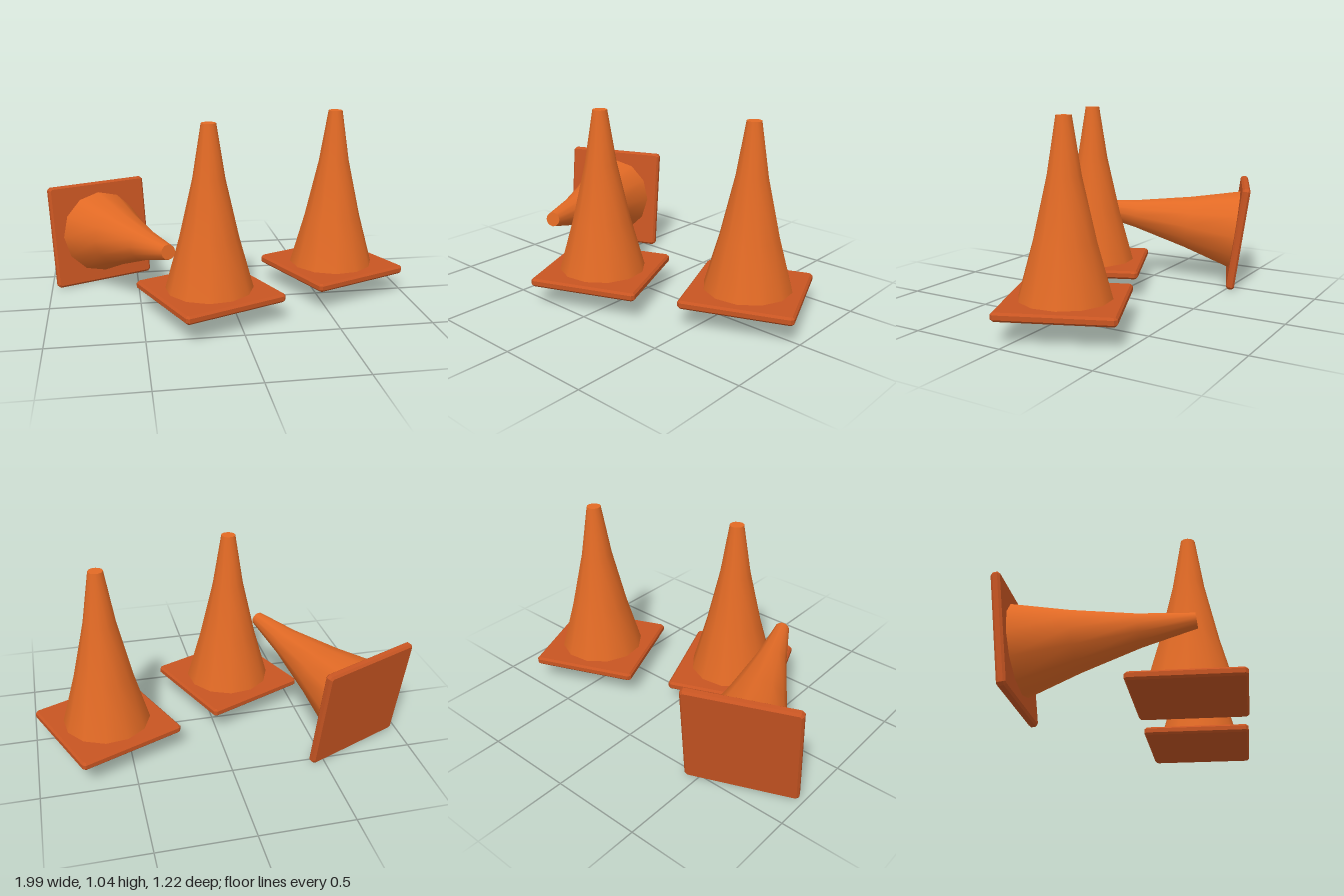
import * as THREE from 'three';

const SIDE = 0.59, THICK = 0.045, BEVEL = 0.011, SIDES = 12;
const TOP_RADIUS = 0.039, HEIGHT = 0.925;

// Square slab with clipped corners and bevelled rims, standing on y = 0
function slabGeometry() {
  const h = SIDE / 2 - BEVEL, c = 0.008;
  const shape = new THREE.Shape([
    [h, -h + c], [h, h - c], [h - c, h], [-h + c, h],
    [-h, h - c], [-h, -h + c], [-h + c, -h], [h - c, -h],
  ].map(([x, y]) => new THREE.Vector2(x, y)));
  return new THREE.ExtrudeGeometry(shape, {
    depth: THICK - 2 * BEVEL, bevelEnabled: true, bevelSegments: 1,
    bevelSize: BEVEL, bevelThickness: BEVEL,
  }).translate(0, 0, BEVEL).rotateX(-Math.PI / 2);
}

// Gently flared twelve-sided body
function bodyGeometry() {
  const profile = [[0.235, THICK], [0.157, 0.325], [0.085, 0.64], [TOP_RADIUS, HEIGHT]];
  return new THREE.LatheGeometry(profile.map(([r, y]) => new THREE.Vector2(r, y)), SIDES);
}

export function createModel() {
  const bodyOrange = new THREE.MeshStandardMaterial({ name: 'bodyOrange', color: 0xe26a25 });
  const baseOrange = new THREE.MeshStandardMaterial({ name: 'baseOrange', color: 0xc85522 });

  const slab = slabGeometry();
  const body = bodyGeometry();
  const cap = new THREE.CircleGeometry(TOP_RADIUS, SIDES)
    .rotateX(-Math.PI / 2).translate(0, HEIGHT, 0);

  const model = new THREE.Group();
  model.name = 'trafficCones';

  function addCone(name, position, pitch) {
    const cone = new THREE.Group();
    cone.name = name;
    const parts = [['base', slab, baseOrange], ['body', body, bodyOrange], ['tip', cap, bodyOrange]];
    for (const [partName, geometry, material] of parts) {
      const mesh = new THREE.Mesh(geometry, material);
      mesh.name = partName;
      cone.add(mesh);
    }
    cone.position.set(...position);
    cone.rotation.set(THREE.MathUtils.degToRad(pitch), Math.PI / 8, 0, 'YXZ');
    model.add(cone);
  }

  addCone('middleCone', [-0.143, 0.12, 0.217], 0);
  addCone('leftCone', [0.61, 0.12, -0.1], 0);
  // Toppled cone, resting on a base edge with its tip slightly raised
  addCone('fallenCone', [-0.72, 0.296, -0.475], 82);
  return model;
}
